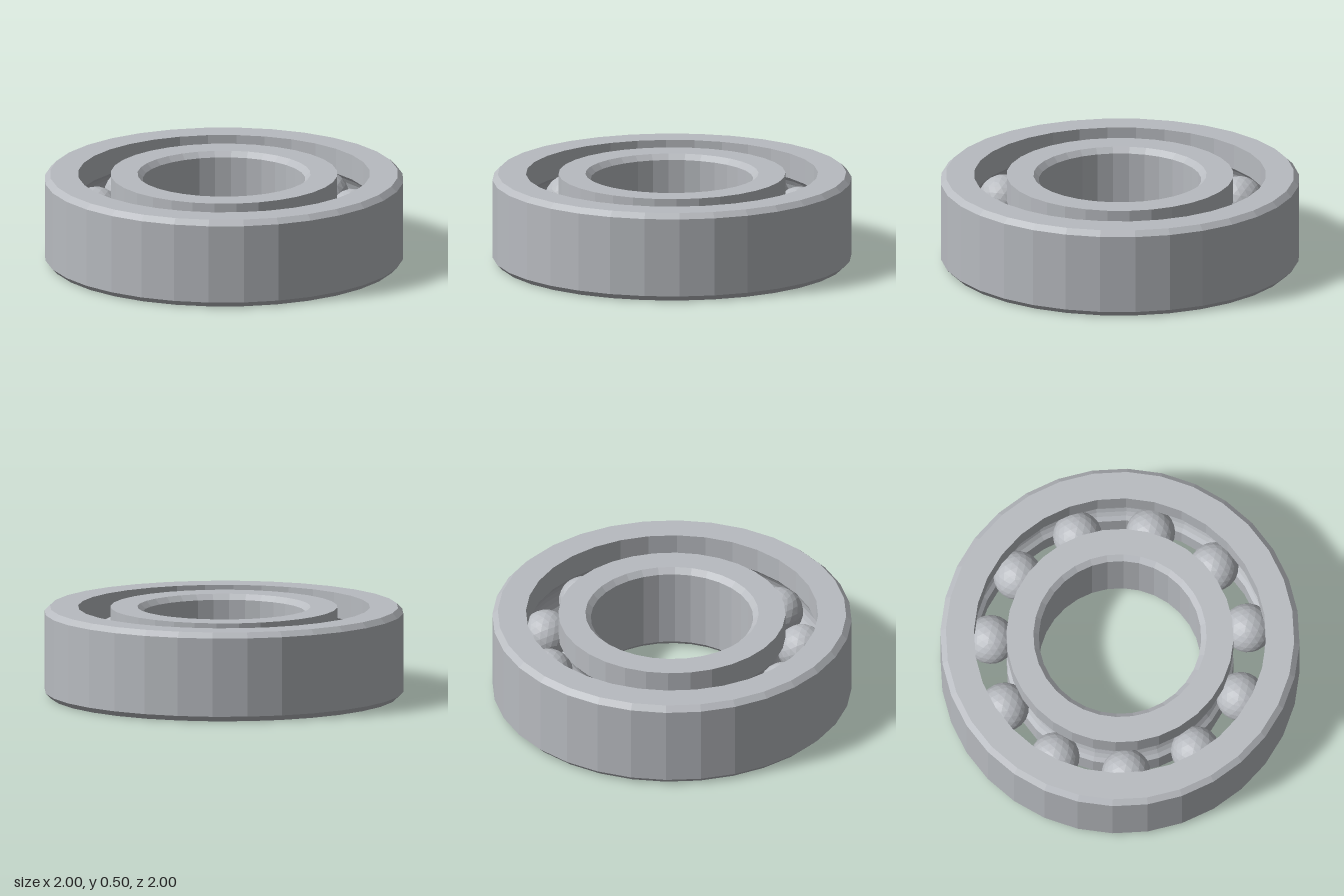
import * as THREE from 'three';

const HEIGHT = 0.5, MID = HEIGHT / 2, SIDES = 32;
const BALLS = 11, PITCH = 0.723, BALL_R = 0.137;
const BORE = 0.452, INNER_LIP = 0.632, OUTER_LIP = 0.813, OUTER = 1, BEVEL = 0.03;

// Points of the ball groove cut into a ring wall, side = 1 (outer ring) or -1 (inner ring)
function groove(lip, side) {
  const r = BALL_R + 0.004;
  const half = Math.acos(Math.abs(lip - PITCH) / r);
  const points = [];
  for (let i = 0; i <= 8; i++) {
    const a = half * (1 - i / 4);
    // outer wall runs downwards, inner wall runs upwards
    points.push([PITCH + side * r * Math.cos(a), MID + side * r * Math.sin(a)]);
  }
  return points;
}

// Turns a closed profile into a faceted ring
function ring(name, profile, material) {
  const points = [...profile, profile[0]].map(([x, y]) => new THREE.Vector2(x, y));
  const mesh = new THREE.Mesh(new THREE.LatheGeometry(points, SIDES), material);
  mesh.name = name;
  return mesh;
}

export function createModel() {
  const model = new THREE.Group();
  model.name = 'ballBearing';
  const steel = new THREE.MeshStandardMaterial({ color: 0xb8bbc0, flatShading: true });
  steel.name = 'steel';

  // Outer ring with bevelled outside edges
  model.add(ring('outerRing', [
    [OUTER_LIP, 0], [OUTER - BEVEL, 0], [OUTER, BEVEL],
    [OUTER, HEIGHT - BEVEL], [OUTER - BEVEL, HEIGHT], [OUTER_LIP, HEIGHT],
    ...groove(OUTER_LIP, 1),
  ], steel));

  // Inner ring with bevelled bore
  model.add(ring('innerRing', [
    [BORE + BEVEL, 0], [INNER_LIP, 0],
    ...groove(INNER_LIP, -1),
    [INNER_LIP, HEIGHT], [BORE + BEVEL, HEIGHT], [BORE, HEIGHT - BEVEL], [BORE, BEVEL],
  ], steel));

  // Balls spaced evenly around the race
  const balls = new THREE.Group();
  balls.name = 'balls';
  const ballGeometry = new THREE.IcosahedronGeometry(BALL_R, 3);
  for (let i = 0; i < BALLS; i++) {
    const a = (i / BALLS) * Math.PI * 2;
    const ball = new THREE.Mesh(ballGeometry, steel);
    ball.name = 'ball';
    ball.position.set(PITCH * Math.cos(a), MID, PITCH * Math.sin(a));
    balls.add(ball);
  }
  model.add(balls);
  return model;
}
